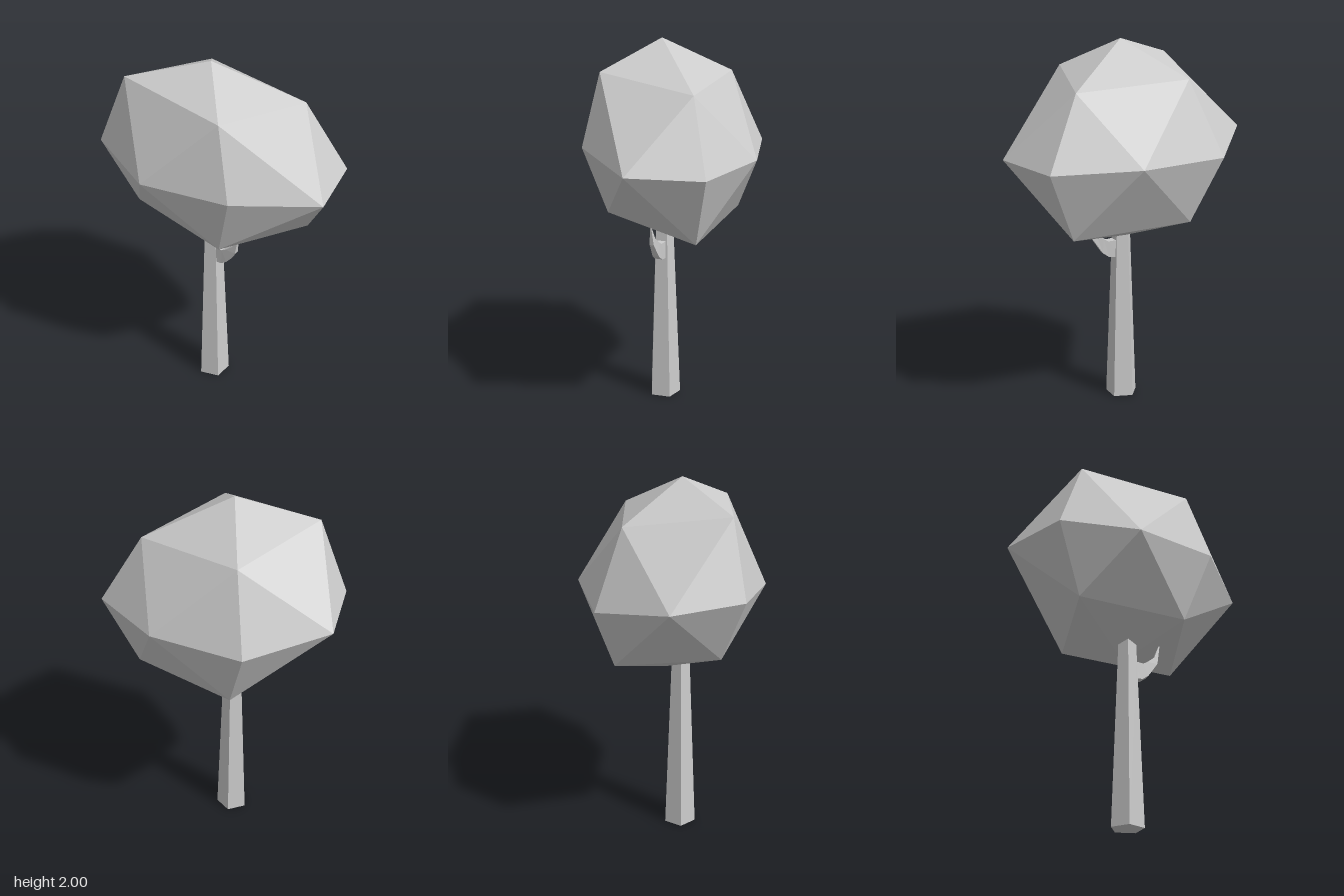
import * as THREE from 'three';

const material = new THREE.MeshStandardMaterial({ color: 0xcccccc, flatShading: true });

function makeMesh(name, triangles) {
  const geometry = new THREE.BufferGeometry();
  geometry.setAttribute('position', new THREE.Float32BufferAttribute(triangles.flat(), 3));
  geometry.computeVertexNormals();
  const mesh = new THREE.Mesh(geometry, material);
  mesh.name = name;
  return mesh;
}

// Skin a list of equal-sized rings and cap both ends.
function loft(name, rings) {
  const tris = [];
  const n = rings[0].length;
  for (let i = 0; i < rings.length - 1; i++) {
    const a = rings[i], b = rings[i + 1];
    for (let j = 0; j < n; j++) {
      const k = (j + 1) % n;
      tris.push(a[j], a[k], b[k], a[j], b[k], b[j]);
    }
  }
  const first = rings[0], last = rings[rings.length - 1];
  for (let j = 1; j < n - 1; j++) {
    tris.push(first[0], first[j + 1], first[j], last[0], last[j], last[j + 1]);
  }
  return makeMesh(name, tris);
}

const trunkX = -0.058, trunkZ = 0.055;

// Tapered five-sided trunk
function createTrunk() {
  const ring = (y, r) => Array.from({ length: 5 }, (_, i) => {
    const a = (i * Math.PI * 2) / 5;
    return [trunkX + r * Math.cos(a), y, trunkZ - r * Math.sin(a)];
  });
  return loft('trunk', [ring(0, 0.089), ring(0.95, 0.053), ring(1.15, 0.046)]);
}

// Curved side branch: lower and upper edge (distance out, height) and half width
function createBranch() {
  const dx = 0.75, dz = 0.66;
  const sections = [
    [0.02, 0.81, 0.02, 0.91, 0.03],
    [0.08, 0.815, 0.085, 0.905, 0.022],
    [0.115, 0.84, 0.11, 0.92, 0.019],
    [0.17, 0.92, 0.152, 0.955, 0.012],
    [0.187, 1.03, 0.182, 1.03, 0.003],
  ];
  const point = (s, y, w) => [trunkX + dx * s + dz * w, y, trunkZ + dz * s - dx * w];
  return loft('branch', sections.map(([sl, yl, sh, yh, w]) => [
    point(sl, yl, -w), point(sl, yl, w), point(sh, yh, w), point(sh, yh, -w),
  ]));
}

// Faceted crown: an irregular octahedron, each side split into four
function createCrown() {
  const peak = [-0.06, 2, 0.06];
  const base = [0, 0.95, 0];
  const upper = [[-0.49, 1.89, 0.015], [-0.02, 1.845, 0.41], [0.41, 1.775, 0.06], [-0.065, 1.81, -0.335]];
  const middle = [
    [-0.635, 1.5, -0.025], [-0.41, 1.46, 0.33], [0.025, 1.47, 0.525], [0.49, 1.415, 0.45],
    [0.635, 1.4, 0.08], [0.37, 1.415, -0.3], [-0.085, 1.415, -0.53], [-0.53, 1.5, -0.42],
  ];
  const lower = [[-0.45, 1.14, -0.01], [-0.02, 1.1, 0.38], [0.45, 1.025, 0.06], [-0.03, 1.065, -0.37]];
  const tris = [];
  for (let i = 0; i < 4; i++) {
    const j = (i + 1) % 4;
    const [m0, m1, m2] = [middle[2 * i], middle[2 * i + 1], middle[2 * j]];
    const [u0, u1, l0, l1] = [upper[i], upper[j], lower[i], lower[j]];
    tris.push(peak, u0, u1, u0, m0, m1, u0, m1, u1, u1, m1, m2);
    tris.push(base, l1, l0, l0, m1, m0, l0, l1, m1, l1, m2, m1);
  }
  return makeMesh('crown', tris);
}

export function createModel() {
  const tree = new THREE.Group();
  tree.name = 'tree';
  tree.add(createTrunk(), createBranch(), createCrown());
  return tree;
}
